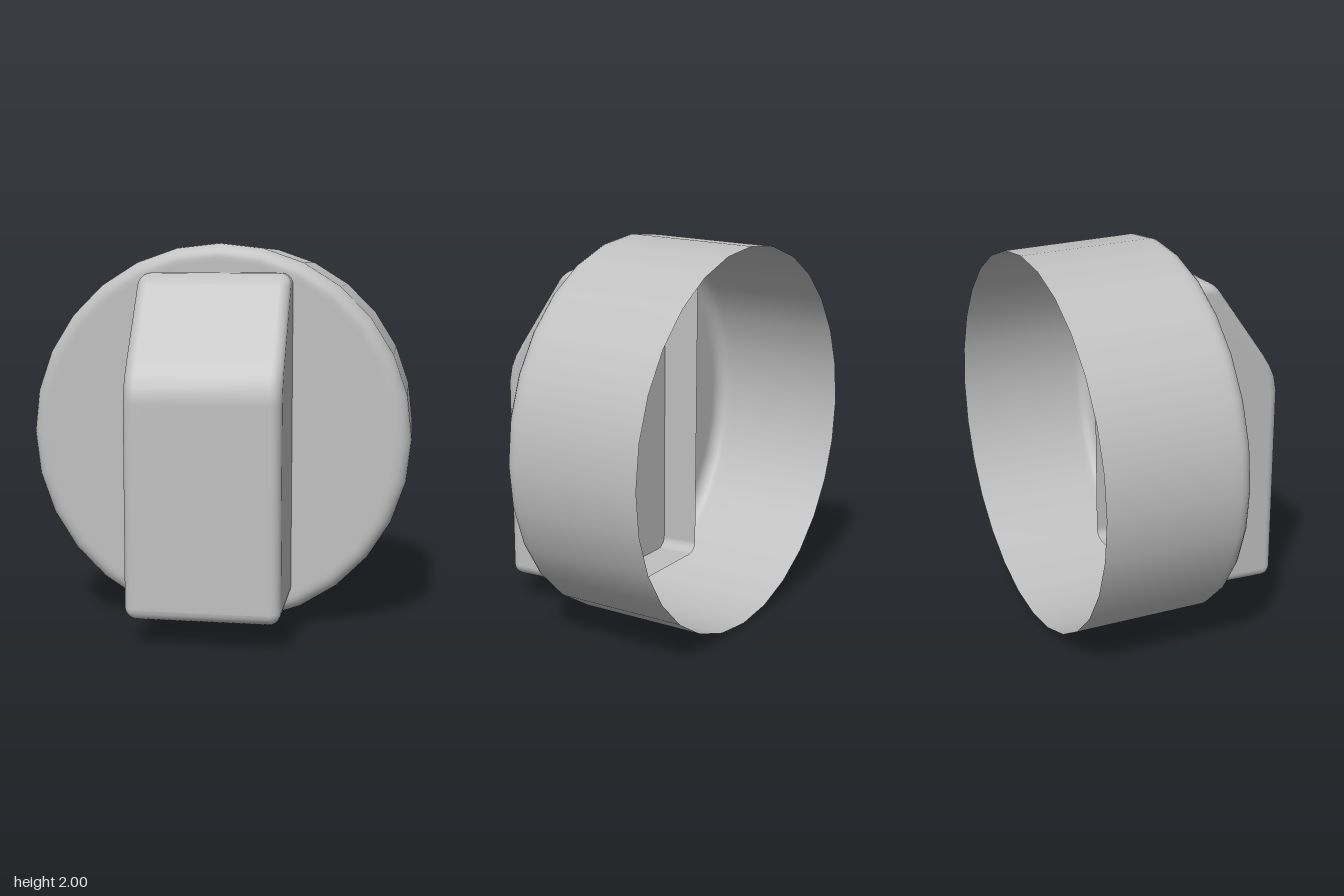
import * as THREE from 'three';

const grey = new THREE.MeshStandardMaterial({ color: 0xc0c0c0, side: THREE.DoubleSide });
grey.name = 'plain grey';

// Round cap: a thin shell, open at the back, with a rounded front edge
function makeCap() {
  const r = 0.07, front = 0.14;
  const profile = [new THREE.Vector2(0.988, -0.625), new THREE.Vector2(0.999, 0.04)];
  for (let i = 0; i <= 5; i++) {
    const t = (i / 5) * Math.PI / 2;
    profile.push(new THREE.Vector2(1 - r + r * Math.cos(t), front - r + r * Math.sin(t)));
  }
  profile.push(new THREE.Vector2(0.91, front), new THREE.Vector2(0, front));
  const geometry = new THREE.LatheGeometry(profile, 28);
  geometry.rotateX(Math.PI / 2).translate(0, 1, 0);
  const mesh = new THREE.Mesh(geometry, grey);
  mesh.name = 'cap';
  return mesh;
}

// Front surface of the grip: flat below, then bending into a straight slope
const bend = [[1.22, 0.63], [1.3, 0.614], [1.36, 0.586], [1.42, 0.548], [1.845, 0.245]];
function frontDepth(y) {
  if (y <= bend[0][0]) return bend[0][1];
  let i = 1;
  while (i < bend.length - 1 && y > bend[i][0]) i++;
  const [y0, z0] = bend[i - 1], [y1, z1] = bend[i];
  return z0 + (z1 - z0) * (y - y0) / (y1 - y0);
}

// Right half of a rounded rectangle, bottom to top, shrunk by an inset
function halfOutline(inset) {
  const w = 0.393, bottom = 0.135, top = 1.85, r = 0.06, pts = [];
  const arc = (cy, start) => {
    for (let i = 0; i <= 5; i++) {
      const t = start + (i / 5) * Math.PI / 2;
      pts.push([w - r + (r - inset) * Math.cos(t), cy + (r - inset) * Math.sin(t)]);
    }
  };
  arc(bottom + r, -Math.PI / 2);
  for (const [y] of bend.slice(0, 4)) pts.push([w - inset, y]);
  arc(top - r, 0);
  return pts;
}

// Grip: walls pass through the cap face and end in a short skirt behind it
function makeGrip() {
  const positions = [], index = [], r = 0.055, steps = 5;
  let half = 0, loops = 0;
  const addLoop = (inset, depth) => {
    const right = halfOutline(inset);
    half = right.length;
    const left = right.map(([x, y]) => [-x, y]).reverse();
    for (const [x, y] of [...right, ...left]) {
      const z = depth(y);
      // the underside rises slightly towards the back
      const rise = Math.max(0, 1 - y) * Math.max(0, 0.58 - z) * 0.06;
      positions.push(x - 0.004, y + rise, z);
    }
    loops++;
  };
  addLoop(0, () => -0.07);
  for (let i = 0; i <= steps; i++) {
    const t = (i / steps) * Math.PI / 2;
    addLoop(r * (1 - Math.cos(t)), y => frontDepth(y) - r * (1 - Math.sin(t)));
  }
  const n = half * 2;
  for (let k = 0; k < loops - 1; k++) {
    for (let i = 0; i < n; i++) {
      const a = k * n + i, b = k * n + (i + 1) % n;
      index.push(a, b, b + n, a, b + n, a + n);
    }
  }
  // front face, in strips from side to side
  const base = (loops - 1) * n;
  for (let i = 0; i < half - 1; i++) {
    const R = base + i, L = base + n - 1 - i;
    index.push(L, R, R + 1, L, R + 1, L - 1);
  }
  const geometry = new THREE.BufferGeometry();
  geometry.setAttribute('position', new THREE.Float32BufferAttribute(positions, 3));
  geometry.setIndex(index);
  geometry.computeVertexNormals();
  const mesh = new THREE.Mesh(geometry, grey);
  mesh.name = 'grip';
  return mesh;
}

export function createModel() {
  const group = new THREE.Group();
  group.name = 'controlKnob';
  group.add(makeCap(), makeGrip());
  return group;
}
